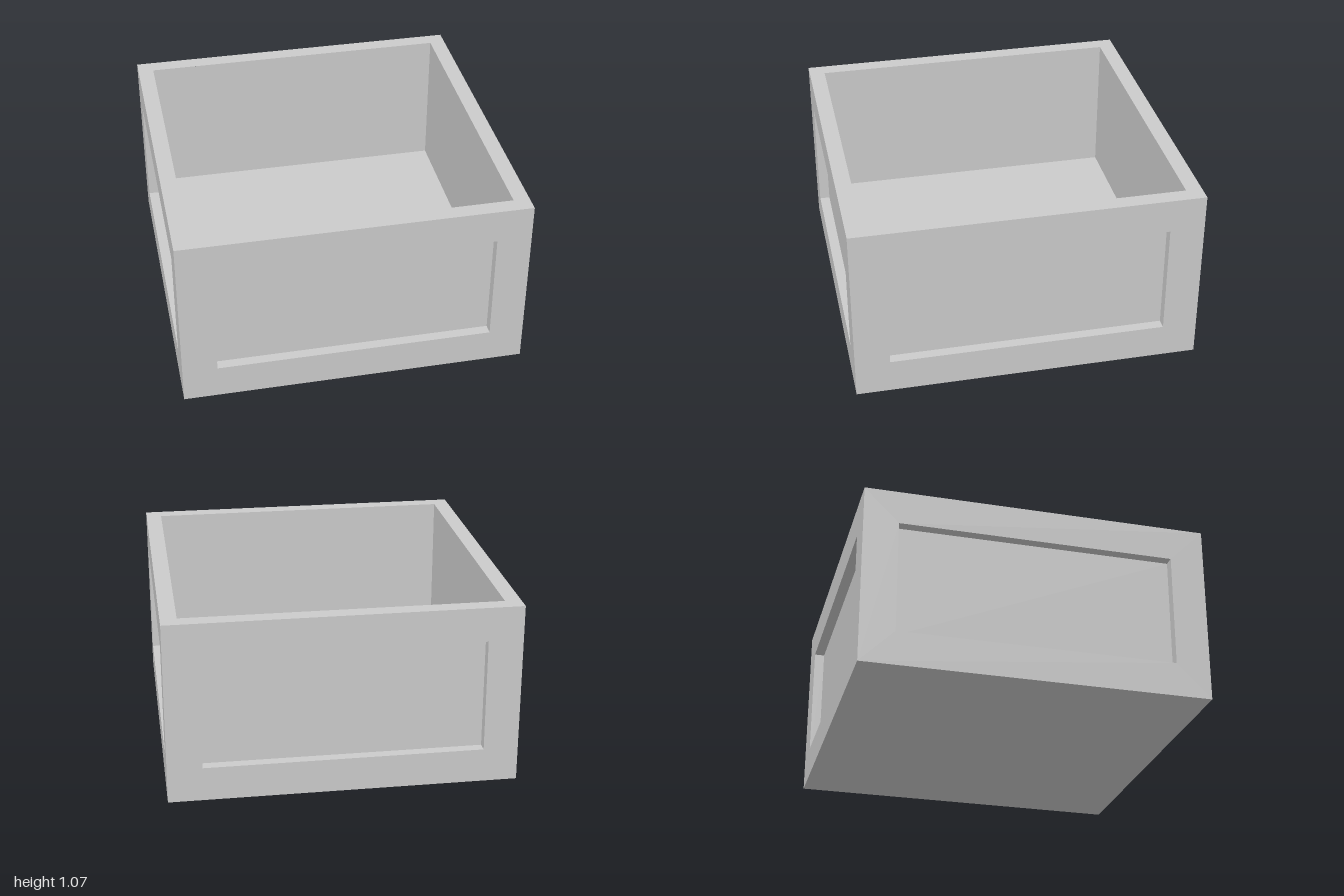
import * as THREE from 'three';
import { mergeGeometries } from 'three/addons/utils/BufferGeometryUtils.js';

const H = 1.065;      // overall height
const INNER = 0.907;  // half width of the cavity
const FLOOR = 0.222;  // height of the cavity floor
const DEPTH = 0.06;   // depth of the side recesses
const RX = 0.8, R0 = 0.2, R1 = 0.865; // recess half width, bottom and top

const material = new THREE.MeshStandardMaterial({ color: 0xcccccc });

function mesh(name, geometry) {
  const m = new THREE.Mesh(geometry, material);
  m.name = name;
  return m;
}

// Rectangle outline used both as shape and as hole
function rect(Type, x0, y0, x1, y1) {
  const points = [[x0, y0], [x1, y0], [x1, y1], [x0, y1]];
  return new Type(points.map(([x, y]) => new THREE.Vector2(x, y)));
}

function framedFace(outer, hole) {
  const shape = rect(THREE.Shape, ...outer);
  shape.holes.push(rect(THREE.Path, ...hole));
  return new THREE.ShapeGeometry(shape);
}

// One side wall facing +z: framed face, recess edges, sunken panel and inner face
function wallGeometry() {
  const midY = (R0 + R1) / 2, midZ = 1 - DEPTH / 2;
  const h = R1 - R0, w = RX * 2;
  return mergeGeometries([
    framedFace([-1, 0, 1, H], [-RX, R0, RX, R1]).translate(0, 0, 1),
    new THREE.PlaneGeometry(w, h).translate(0, midY, 1 - DEPTH),
    new THREE.PlaneGeometry(w, DEPTH).rotateX(-Math.PI / 2).translate(0, R0, midZ),
    new THREE.PlaneGeometry(w, DEPTH).rotateX(Math.PI / 2).translate(0, R1, midZ),
    new THREE.PlaneGeometry(DEPTH, h).rotateY(Math.PI / 2).translate(-RX, midY, midZ),
    new THREE.PlaneGeometry(DEPTH, h).rotateY(-Math.PI / 2).translate(RX, midY, midZ),
    new THREE.PlaneGeometry(INNER * 2, H - FLOOR)
      .rotateY(Math.PI).translate(0, (H + FLOOR) / 2, INNER),
  ]);
}

export function createModel() {
  const model = new THREE.Group();
  model.name = 'squarePlanterBox';

  // Four identical walls
  const wall = wallGeometry();
  ['frontWall', 'leftWall', 'backWall', 'rightWall'].forEach((name, i) => {
    const side = mesh(name, wall);
    side.rotation.y = i * Math.PI / 2;
    model.add(side);
  });

  // Flat rim around the opening
  model.add(mesh('rim', framedFace([-1, -1, 1, 1], [-INNER, -INNER, INNER, INNER])
    .rotateX(-Math.PI / 2).translate(0, H, 0)));

  // Cavity floor and underside
  model.add(mesh('floor', new THREE.PlaneGeometry(INNER * 2, INNER * 2)
    .rotateX(-Math.PI / 2).translate(0, FLOOR, 0)));
  model.add(mesh('underside', new THREE.PlaneGeometry(2, 2).rotateX(Math.PI / 2)));

  return model;
}
